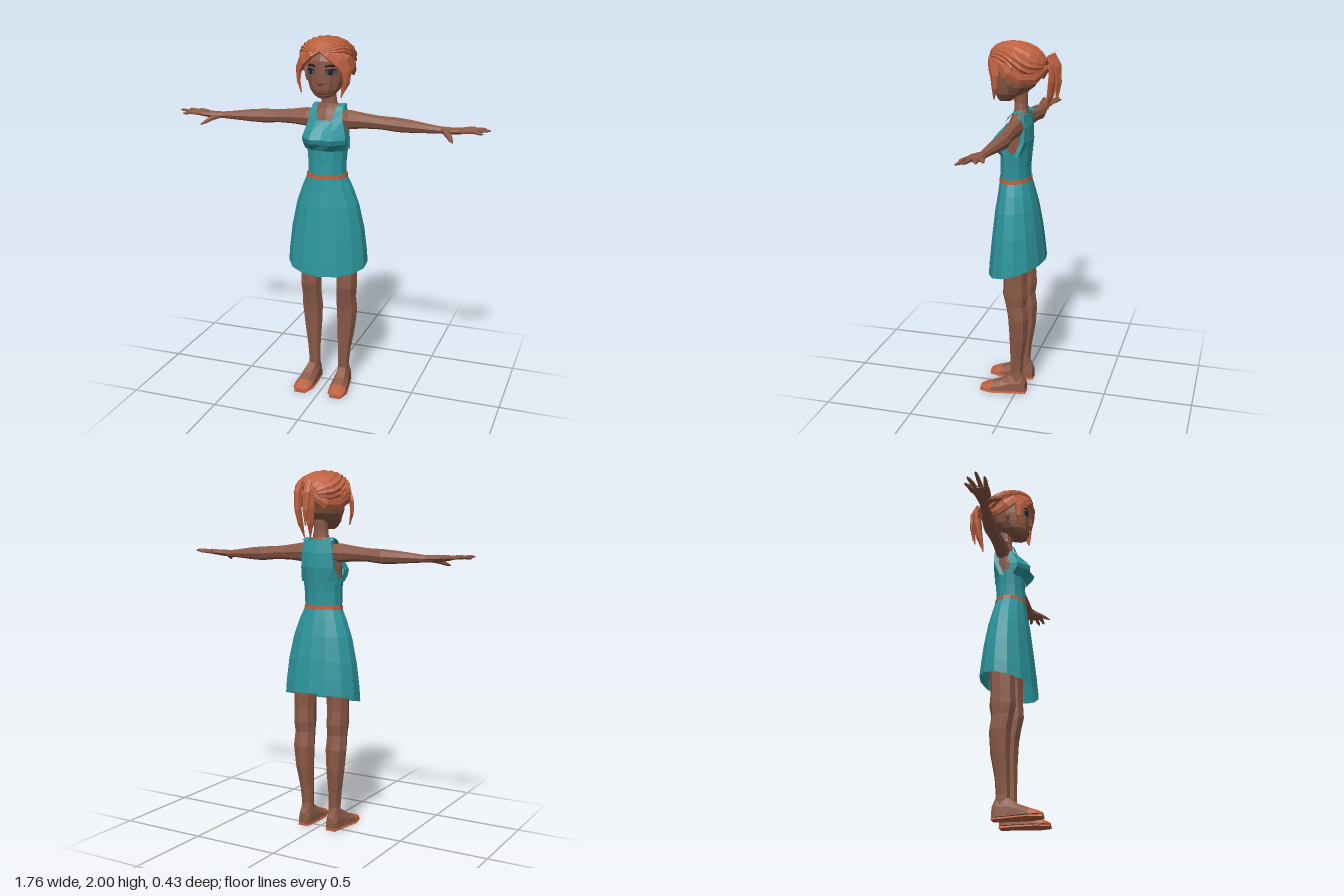
import * as THREE from 'three';

const material = (name, color) => {
  const m = new THREE.MeshStandardMaterial({ color, flatShading: true, side: THREE.DoubleSide });
  m.name = name;
  return m;
};

// Faceted surface through rows of [x, y, z]; closed rows become capped tubes.
function surface(rows, closed, caps = closed) {
  const pos = [];
  const n = rows[0].length;
  const tri = (a, b, c) => pos.push(...a, ...b, ...c);
  for (let i = 0; i < rows.length - 1; i++) {
    for (let j = 0; j < (closed ? n : n - 1); j++) {
      const k = (j + 1) % n;
      tri(rows[i][j], rows[i][k], rows[i + 1][k]);
      tri(rows[i][j], rows[i + 1][k], rows[i + 1][j]);
    }
  }
  if (caps) {
    const middle = r => [0, 1, 2].map(d => r.reduce((s, p) => s + p[d], 0) / n);
    const first = rows[0], last = rows[rows.length - 1];
    for (let j = 0; j < n; j++) {
      const k = (j + 1) % n;
      tri(first[k], first[j], middle(first));
      tri(last[j], last[k], middle(last));
    }
  }
  const g = new THREE.BufferGeometry();
  g.setAttribute('position', new THREE.Float32BufferAttribute(pos, 3));
  g.computeVertexNormals();
  return g;
}

const mirror = rows => rows.map(r => r.map(([x, y, z]) => [-x, y, z]).reverse());
const ring = (n, f) => Array.from({ length: n }, (_, i) => {
  const a = i / n * Math.PI * 2;
  return f(Math.sin(a), Math.cos(a));
});

// Upright rings: [y, rx, cz, rz, cx, tilt]
const upright = (list, n) => list.map(([y, rx, cz, rz, cx = 0, tilt = 0]) => ring(n, (s, c) => {
  const z = cz + rz * c;
  return [cx + rx * s, y - tilt * z, z];
}));

// Rings across x: [x, cy, ry, cz, rz]
const sideways = (list, n) => list.map(([x, cy, ry, cz, rz]) =>
  ring(n, (s, c) => [x, cy + ry * c, cz + rz * s]));

// Flattened tapering strand: [x, y, z, width, thickness], flat side facing away from centre.
function strand(list, centre, n = 6) {
  const pts = list.map(p => new THREE.Vector3(p[0], p[1], p[2]));
  return list.map((p, i) => {
    const t = pts[Math.min(i + 1, pts.length - 1)].clone().sub(pts[Math.max(i - 1, 0)]).normalize();
    const out = pts[i].clone().sub(centre);
    out.addScaledVector(t, -out.dot(t)).normalize();
    const across = t.clone().cross(out);
    return ring(n, (s, c) => pts[i].clone().addScaledVector(out, p[4] * c)
      .addScaledVector(across, p[3] * s).toArray());
  });
}

export function createModel() {
  const model = new THREE.Group();
  model.name = 'womanInDress';
  const skin = material('brown skin', 0x8c5a47);
  const teal = material('teal cloth', 0x2d959d);
  const orange = material('copper', 0xbd6140);
  const dark = material('dark lashes', 0x1d1b22);
  const eyeGrey = material('slate eye', 0x47505c);
  const lip = material('dark lip', 0x613128);

  const add = (name, mat, rows, closed = true, caps = closed) => {
    const mesh = new THREE.Mesh(surface(rows, closed, caps), mat);
    mesh.name = name;
    model.add(mesh);
  };
  const pair = (name, mat, rows, closed = true, caps = closed) => {
    add(name + 'Left', mat, rows, closed, caps);
    add(name + 'Right', mat, mirror(rows), closed, caps);
  };

  // Chest and neck
  add('chestAndNeck', skin, upright([
    [1.37, .10, .02, .07], [1.42, .112, .02, .078], [1.48, .115, .018, .078], [1.54, .112, .008, .062],
    [1.585, .102, .002, .052], [1.62, .075, -.004, .043], [1.645, .046, -.004, .038],
    [1.68, .04, -.003, .037], [1.74, .042, 0, .042]], 12));

  // Dress
  add('skirt', teal, upright([
    [.757, .227, .015, .16, 0, .28], [.83, .222, .015, .153, 0, .22], [.96, .206, .015, .138, 0, .14],
    [1.1, .175, .018, .118, 0, .08], [1.19, .142, .021, .10, 0, .04], [1.255, .112, .026, .088, 0, .04]], 14), true, false);
  add('belt', orange, upright([[1.25, .115, .026, .09, 0, .05], [1.272, .113, .026, .089, 0, .05]], 14));
  add('bodice', teal, upright([
    [1.265, .108, .027, .086], [1.34, .11, .025, .084], [1.425, .118, .022, .088]], 12), true, false);
  // Rows: [y, half width, middle z, bust z, edge z]
  add('bustPanel', teal, [
    [1.40, .113, .108, .104, .06], [1.44, .121, .13, .144, .085], [1.465, .124, .138, .152, .09],
    [1.505, .112, .112, .122, .075], [1.56, .095, .074, .072, .054]].map(([y, w, m, b, e]) =>
    [[-.95, e - .045], [-1, e], [-.5, b], [0, m], [.5, b], [1, e], [.95, e - .045]]
      .map(([f, z]) => [f * w, y, z])), false);
  add('backPanel', teal, [
    [1.40, .116, -.066, -.015], [1.48, .102, -.072, -.045], [1.56, .096, -.068, -.048],
    [1.63, .086, -.05, -.04]].map(([y, w, m, e]) =>
    [[.97, e + .025], [1, e], [.5, (m * 2 + e) / 3], [0, m], [-.5, (m * 2 + e) / 3], [-1, e], [-.97, e + .025]]
      .map(([f, z]) => [f * w, y, z])), false);
  // Strap rows: [y, z, inner x, outer x]
  pair('strap', teal, [
    [1.555, .078, .035, .096], [1.6, .06, .05, .092], [1.632, .03, .056, .087],
    [1.642, -.01, .056, .087], [1.628, -.05, .05, .086]].map(([y, z, a, b]) => [[a, y, z], [b, y, z - .012]]), false);

  // Arms and hands
  pair('arm', skin, sideways([
    [.06, 1.562, .04, -.005, .04], [.12, 1.56, .052, 0, .042], [.2, 1.558, .042, 0, .037],
    [.29, 1.553, .036, -.004, .034], [.38, 1.547, .039, -.008, .037], [.46, 1.545, .034, 0, .034],
    [.56, 1.542, .024, .01, .026], [.62, 1.54, .019, .014, .022], [.68, 1.542, .019, .028, .04],
    [.745, 1.547, .014, .024, .05], [.765, 1.548, .01, .024, .042]], 8));
  const below = new THREE.Vector3(.75, 0, .02);
  [[-.016, .807, -.04, 1.55], [.009, .848, -.018, 1.555], [.034, .878, .033, 1.557], [.058, .846, .072, 1.545]]
    .forEach(([z, tx, tz, ty], i) => pair('finger' + (i + 1), skin, strand([
      [.73, 1.547, z, .012, .011], [(tx + .75) / 2, 1.552, (z + tz) / 2, .011, .01],
      [tx - .015, ty, z + (tz - z) * .85, .008, .007], [tx, ty, tz, .003, .003]], below)));
  pair('thumb', skin, strand([
    [.645, 1.535, .03, .02, .014], [.672, 1.525, .075, .017, .013],
    [.69, 1.512, .108, .012, .01], [.705, 1.503, .132, .004, .004]], below));

  // Legs
  pair('leg', skin, upright([
    [.05, .036, -.01, .042, .09], [.13, .034, 0, .037, .088], [.22, .039, -.003, .04, .092],
    [.35, .053, -.013, .052, .1], [.47, .062, -.013, .059, .104], [.55, .058, 0, .06, .104],
    [.61, .061, .002, .072, .106], [.69, .061, .003, .067, .106], [.82, .063, 0, .07, .104],
    [1, .065, 0, .075, .08]], 8));

  // Feet: [z, centre x, half width, height]
  const foot = (list, y) => list.map(([z, cx, w, h]) =>
    [[1, 0], [.95, .5], [.5, 1], [-.5, 1], [-.95, .5], [-1, 0]].map(([u, v]) => [cx + w * u, y + v * h, z]));
  pair('foot', skin, foot([
    [-.054, .09, .028, .06], [-.03, .09, .037, .105], [.035, .093, .042, .095],
    [.09, .099, .049, .058], [.14, .102, .053, .038]], .012));
  pair('toes', orange, foot([[.139, .102, .053, .038], [.18, .104, .049, .024], [.208, .106, .03, .012]], .012));
  pair('sole', orange, foot([
    [-.056, .09, .03, .014], [.035, .093, .044, .014], [.14, .102, .055, .014], [.21, .106, .032, .014]], 0));

  // Head
  add('head', skin, upright([
    [1.685, .028, .085, .032], [1.7, .054, .077, .049], [1.73, .083, .053, .083], [1.77, .1, .03, .111],
    [1.82, .11, .02, .125], [1.88, .11, .018, .127], [1.94, .085, .015, .1]], 12));
  add('nose', skin, [
    [[-.02, 1.757, .13], [0, 1.753, .14], [.02, 1.757, .13]],
    [[-.018, 1.768, .138], [0, 1.765, .158], [.018, 1.768, .138]],
    [[-.008, 1.825, .14], [0, 1.83, .147], [.008, 1.825, .14]]], false);
  pair('ear', skin, strand([
    [.106, 1.765, .035, .008, .008], [.115, 1.79, .03, .018, .01],
    [.118, 1.82, .024, .02, .01], [.112, 1.84, .022, .01, .008]], new THREE.Vector3(0, 1.8, .03)));

  // Painted face details
  const facePlate = (low, high) => [low, high].map(([a, b, c]) =>
    [[.028, a, .141], [.055, b, .133], [.08, c, .105]]);
  pair('eye', eyeGrey, facePlate([1.814, 1.808, 1.818], [1.832, 1.837, 1.832]), false);
  pair('lash', dark, facePlate([1.83, 1.834, 1.828], [1.836, 1.844, 1.838]), false);
  pair('brow', dark, facePlate([1.848, 1.854, 1.85], [1.86, 1.866, 1.855]), false);
  pair('iris', dark, [1.812, 1.836].map(y => [[.044, y, .138], [.055, y, .135], [.064, y, .125]]), false);
  add('mouth', lip, [1.705, 1.716].map(y => [[-.024, y, .126], [0, y, .134], [.024, y, .126]]), false);

  // Swept-back hair: ridged meridians from the front parting to the back knot
  const hairRows = [];
  for (let i = 0; i <= 10; i++) {
    const t = i / 10, r = Math.sin(Math.PI * (.04 + .92 * t));
    const spread = 1.5 + 1.3 * THREE.MathUtils.smoothstep(t, .3, .75);
    hairRows.push(Array.from({ length: 29 }, (_, j) => {
      const a = (j / 14 - 1) * spread, k = r * (j % 2 ? .94 : 1);
      return [.153 * k * Math.sin(a), 1.925 - .055 * t + (.105 - .0 * t) * k * Math.cos(a),
        .01 + .15 * Math.cos(Math.PI * t)];
    }));
  }
  add('hairCap', orange, hairRows, false);

  // Face-framing locks and ponytail
  const headCentre = new THREE.Vector3(0, 1.84, 0);
  pair('frontLock', orange, strand([
    [.0, 1.945, .135, .02, .012], [.05, 1.922, .145, .032, .014], [.1, 1.885, .125, .04, .014],
    [.132, 1.83, .105, .034, .013], [.132, 1.77, .105, .022, .01], [.113, 1.71, .115, .003, .003]], headCentre));
  pair('sideLock', orange, strand([
    [.06, 1.945, .1, .03, .012], [.125, 1.9, .07, .04, .014], [.142, 1.85, .03, .035, .012],
    [.13, 1.82, -.03, .03, .012], [.09, 1.82, -.1, .03, .012], [.02, 1.87, -.145, .02, .012]], headCentre));
  const tailCentre = new THREE.Vector3(0, 1.8, -.1);
  pair('ponytailLong', orange, strand([
    [.012, 1.885, -.13, .02, .015], [.024, 1.925, -.16, .022, .014], [.034, 1.89, -.182, .025, .014],
    [.038, 1.8, -.178, .026, .014], [.03, 1.72, -.165, .02, .012], [.018, 1.645, -.145, .003, .003]], tailCentre));
  pair('ponytailShort', orange, strand([
    [.012, 1.9, -.14, .014, .014], [.026, 1.935, -.175, .018, .012], [.03, 1.88, -.203, .02, .011],
    [.026, 1.79, -.207, .018, .01], [.02, 1.705, -.198, .003, .003]], tailCentre));
  return model;
}
